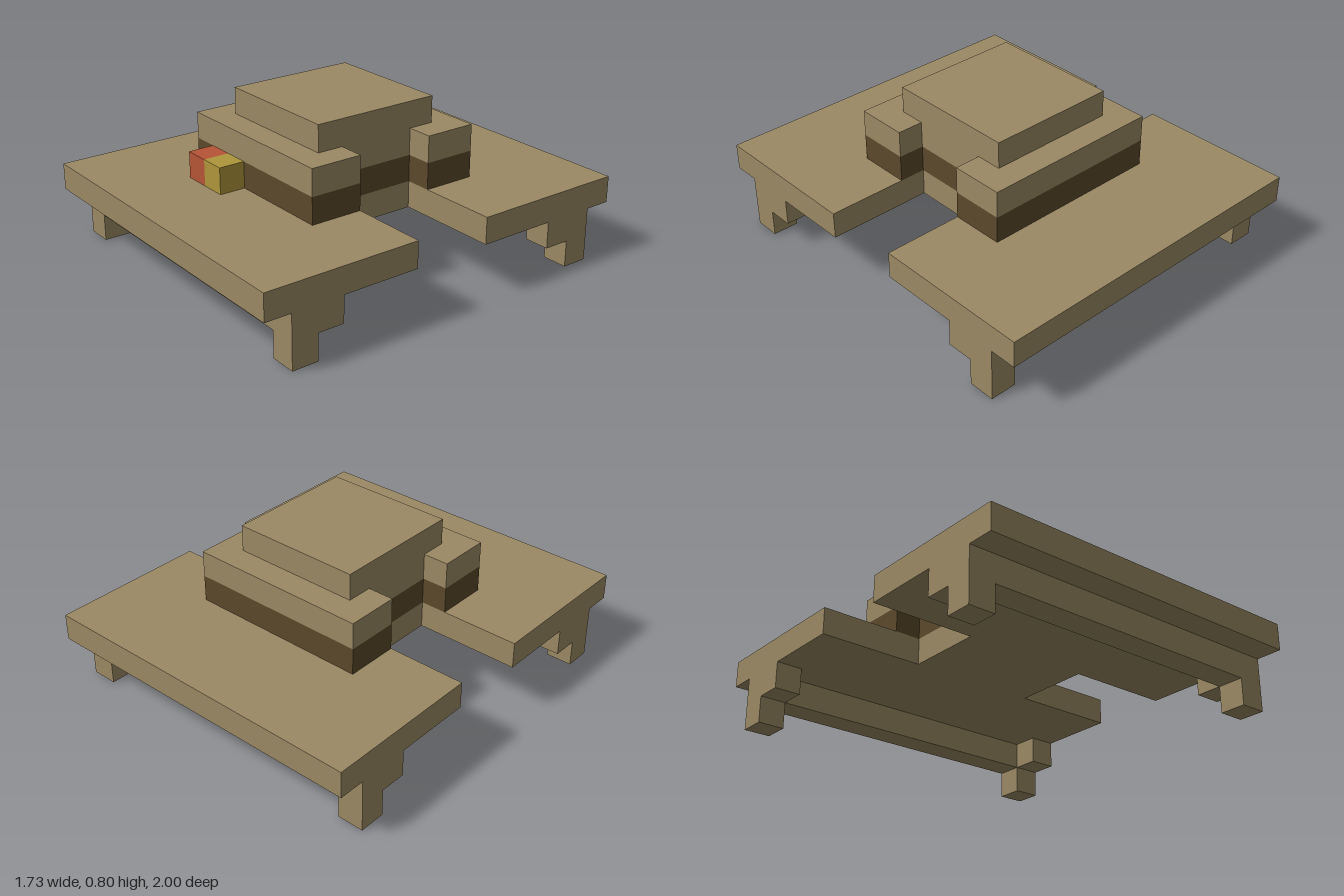
import * as THREE from 'three';

const U = 2 / 15; // one block

export function createModel() {
  const model = new THREE.Group();
  model.name = 'steppedHull';

  const mat = (name, color) => {
    const m = new THREE.MeshStandardMaterial({ color });
    m.name = name;
    return m;
  };
  const tan = mat('tan', 0x9a8964);
  const brown = mat('darkBrown', 0x5b492b);
  const red = mat('red', 0xb65436);
  const yellow = mat('yellow', 0xae963a);

  const add = (name, geometry, material) => {
    const mesh = new THREE.Mesh(geometry, material);
    mesh.name = name;
    model.add(mesh);
    return mesh;
  };

  // Box given by its size and centre x/z and base y, all in blocks
  const box = (name, material, w, h, d, x, y, z) =>
    add(name, new THREE.BoxGeometry(w * U, h * U, d * U), material)
      .position.set(x * U, (y + h / 2) * U, z * U);

  // One-block-high layer with a notch in the middle of both sides
  const notched = (name, material, halfW, halfD, y) => {
    const waist = 2.5, gap = 1.5;
    const pts = [
      [halfW, -halfD], [halfW, -gap], [waist, -gap], [waist, gap], [halfW, gap], [halfW, halfD],
      [-halfW, halfD], [-halfW, gap], [-waist, gap], [-waist, -gap], [-halfW, -gap], [-halfW, -halfD],
    ].map(([x, z]) => new THREE.Vector2(x * U, z * U));
    const geo = new THREE.ExtrudeGeometry(new THREE.Shape(pts), { depth: U, bevelEnabled: false });
    geo.rotateX(-Math.PI / 2);
    add(name, geo, material).position.y = y * U;
  };

  // Body layers
  notched('baseDeck', tan, 6.5, 7.5, 2);
  notched('darkBand', brown, 3.5, 3.5, 3);
  notched('upperTier', tan, 3.5, 3.5, 4);
  box('topBlock', tan, 5, 1, 5, 0, 5, 0);

  // Beams, inner corner brackets and feet
  for (const sz of [1, -1]) {
    box('crossBeam', tan, 13, 1, 1, 0, 1, 6 * sz);
    for (const sx of [1, -1]) {
      box('cornerBracket', tan, 1, 1, 1, 6 * sx, 1, 5 * sz);
      box('foot', tan, 1, 1, 1, 6 * sx, 0, 6 * sz);
    }
  }

  // Coloured lamps on the front deck
  box('redLamp', red, 1, 1, 1, -2, 3, 4);
  box('yellowLamp', yellow, 1, 1, 1, -1, 3, 4);

  return model;
}
